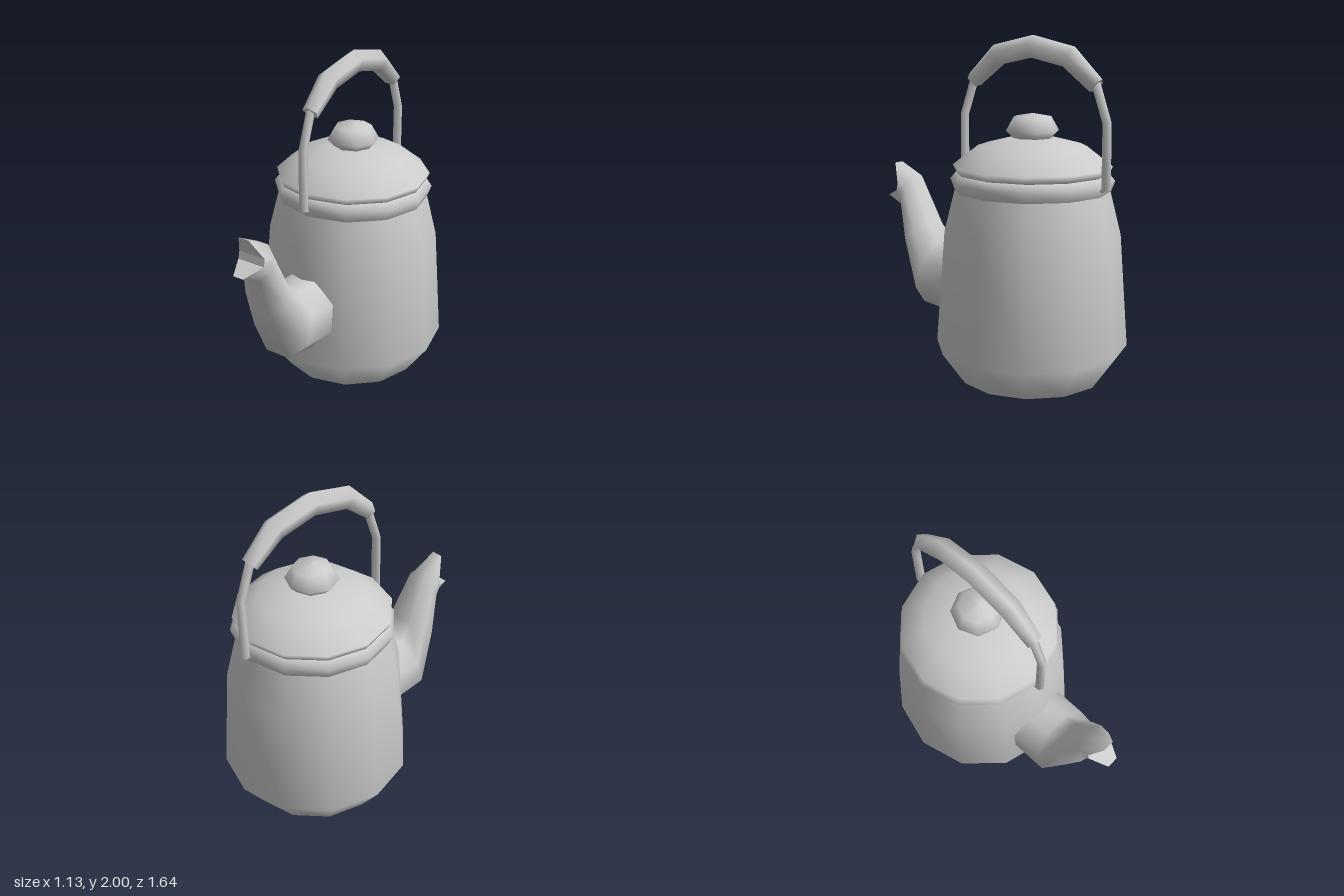
import * as THREE from 'three';

const CZ = -0.255; // axis of the pot
const material = new THREE.MeshStandardMaterial({ color: 0xcccccc });

function addMesh(group, name, geometry) {
  const mesh = new THREE.Mesh(geometry, material);
  mesh.name = name;
  group.add(mesh);
  return mesh;
}

// Lathed part standing on the pot axis
function addLathe(group, name, profile, sides) {
  const points = profile.map(([r, y]) => new THREE.Vector2(r, y));
  addMesh(group, name, new THREE.LatheGeometry(points, sides)).position.z = CZ;
}

// Smooth skin over rings of [x, y, z]; caps are extra polygons with hard edges
function loft(rings, caps) {
  const n = rings[0].length;
  const positions = rings.flat(2);
  const index = [];
  for (let i = 0; i < rings.length - 1; i++) {
    for (let j = 0; j < n; j++) {
      const k = (j + 1) % n;
      const a = i * n + j, b = i * n + k;
      index.push(a, b, a + n, b, b + n, a + n);
    }
  }
  for (const cap of caps) {
    const start = positions.length / 3;
    positions.push(...cap.flat());
    for (let j = 1; j < cap.length - 1; j++) index.push(start, start + j, start + j + 1);
  }
  const geometry = new THREE.BufferGeometry();
  geometry.setAttribute('position', new THREE.Float32BufferAttribute(positions, 3));
  geometry.setIndex(index);
  geometry.computeVertexNormals();
  return geometry;
}

// Five-sided rod along [z, y, radius] points, one ridge on its outer side
function rod(path) {
  const rings = path.map(([z, y, r], i) => {
    const p = path[Math.max(i - 1, 0)], q = path[Math.min(i + 1, path.length - 1)];
    const t = new THREE.Vector2(q[0] - p[0], q[1] - p[1]).normalize();
    return Array.from({ length: 5 }, (_, j) => {
      const a = (j / 5) * Math.PI * 2;
      const out = r * Math.cos(a);
      return [r * Math.sin(a), y - t.x * out, z + t.y * out];
    });
  });
  return loft(rings, [[...rings[0]].reverse(), rings[rings.length - 1]]);
}

const mirrorPath = (path) => path.map(([z, y, r]) => [2 * CZ - z, y, r]).reverse();

// Octagonal spout ring between a bottom and a top point [z, y]
function spoutRing([bottom, top, halfWidth]) {
  const s = 1 / Math.cos(Math.PI / 8);
  return Array.from({ length: 8 }, (_, j) => {
    const a = ((j + 0.5) * Math.PI) / 4;
    const c = (Math.cos(a) * s + 1) / 2;
    return [
      -halfWidth * Math.sin(a) * s,
      THREE.MathUtils.lerp(bottom[1], top[1], c),
      THREE.MathUtils.lerp(bottom[0], top[0], c),
    ];
  });
}

export function createModel() {
  const kettle = new THREE.Group();
  kettle.name = 'kettle';

  // Pot, collar and lid
  addLathe(kettle, 'body', [[0.425, 0], [0.565, 0.195], [0.515, 0.86], [0.45, 1.12]], 12);
  addLathe(kettle, 'base', [[0, 0], [0.425, 0]], 12);
  addLathe(kettle, 'collar', [[0.44, 1.11], [0.455, 1.115], [0.477, 1.175], [0.445, 1.215], [0.42, 1.215]], 12);
  addLathe(kettle, 'lid', [[0.43, 1.215], [0.445, 1.22], [0.462, 1.258], [0.315, 1.372], [0.14, 1.417], [0, 1.425]], 12);
  addLathe(kettle, 'lidKnob', [[0.11, 1.4], [0.115, 1.42], [0.155, 1.46], [0.11, 1.54], [0, 1.56]], 8);

  // Spout with a notched, beak-like mouth
  const rings = [
    [[0.12, 0.285], [0.12, 0.735], 0.2],
    [[0.5, 0.34], [0.39, 0.735], 0.2],
    [[0.647, 0.71], [0.48, 0.825], 0.145],
    [[0.695, 0.92], [0.61, 1.11], 0.1],
  ].map(spoutRing);
  const left = [[0.035, 1.19, 0.764], [0.09, 1.07, 0.7], [0.09, 1.025, 0.71], [0.035, 0.98, 0.82]];
  const mouth = [...left.map(([x, y, z]) => [-x, y, z]), ...[...left].reverse()];
  const mouthFaces = [0, 1, 2].map((j) => [mouth[j], mouth[j + 1], mouth[6 - j], mouth[7 - j]]);
  addMesh(kettle, 'spout', loft([...rings, mouth], mouthFaces));

  // Bail handle: two wires hooked into the collar and a thicker grip
  const wire = [[0.19, 1.16, 0.025], [0.237, 1.165, 0.028], [0.235, 1.53, 0.027], [0.155, 1.76, 0.027]];
  addMesh(kettle, 'frontHandleWire', rod(wire));
  addMesh(kettle, 'backHandleWire', rod(mirrorPath(wire)));
  const halfGrip = [[0.164, 1.73, 0.051], [-0.007, 1.879, 0.067]];
  addMesh(kettle, 'handleGrip', rod([...halfGrip, [CZ, 1.932, 0.068], ...mirrorPath(halfGrip)]));

  return kettle;
}
